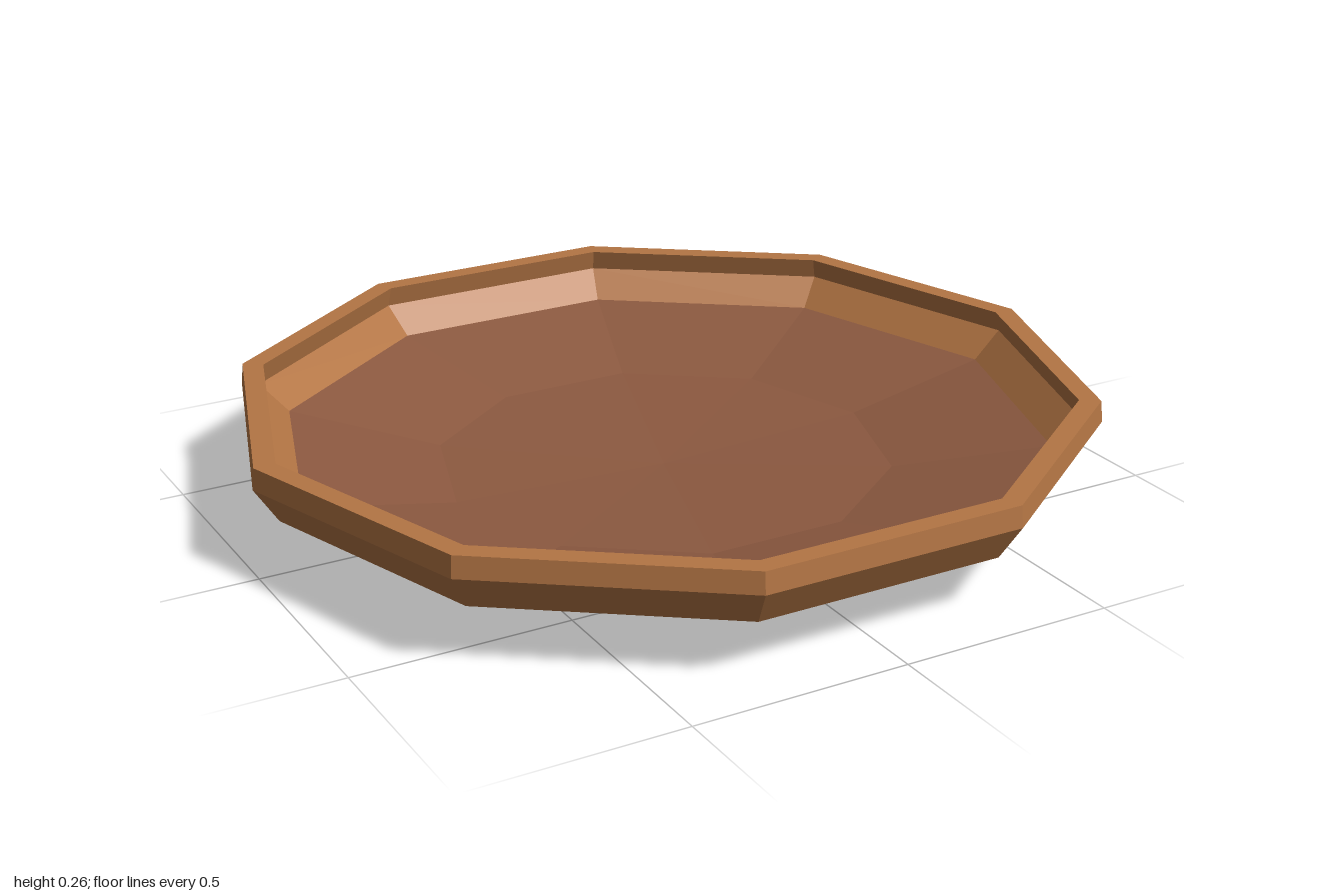
import * as THREE from 'three';

const SIDES = 10;

// Ten-sided turned part from a [radius, height] profile, with corners on the x axis
function turned(name, profile, material) {
  const points = profile.map(([r, y]) => new THREE.Vector2(r, y));
  const geometry = new THREE.LatheGeometry(points, SIDES, Math.PI / 2);
  const mesh = new THREE.Mesh(geometry, material);
  mesh.name = name;
  return mesh;
}

export function createModel() {
  const wood = new THREE.MeshStandardMaterial({ color: 0xb37544, flatShading: true });
  wood.name = 'light wood';
  const darkWood = new THREE.MeshStandardMaterial({ color: 0x8c5940, flatShading: true });
  darkWood.name = 'reddish wood';

  const plate = new THREE.Group();
  plate.name = 'plate';

  // Shallow underside, from the centre out to the rim
  plate.add(turned('underside', [[0, 0], [0.3, 0.003], [0.63, 0.03], [0.945, 0.125], [1, 0.21]], wood));

  // Raised lip with a slight undercut inside
  plate.add(turned('rim', [[1, 0.21], [0.995, 0.26], [0.945, 0.26], [0.958, 0.21]], wood));

  // Sloping band inside the lip
  plate.add(turned('innerBand', [[0.958, 0.21], [0.89, 0.145]], wood));

  // Gently dished eating surface
  plate.add(turned('dish', [[0.89, 0.145], [0.53, 0.075], [0, 0.055]], darkWood));

  return plate;
}
